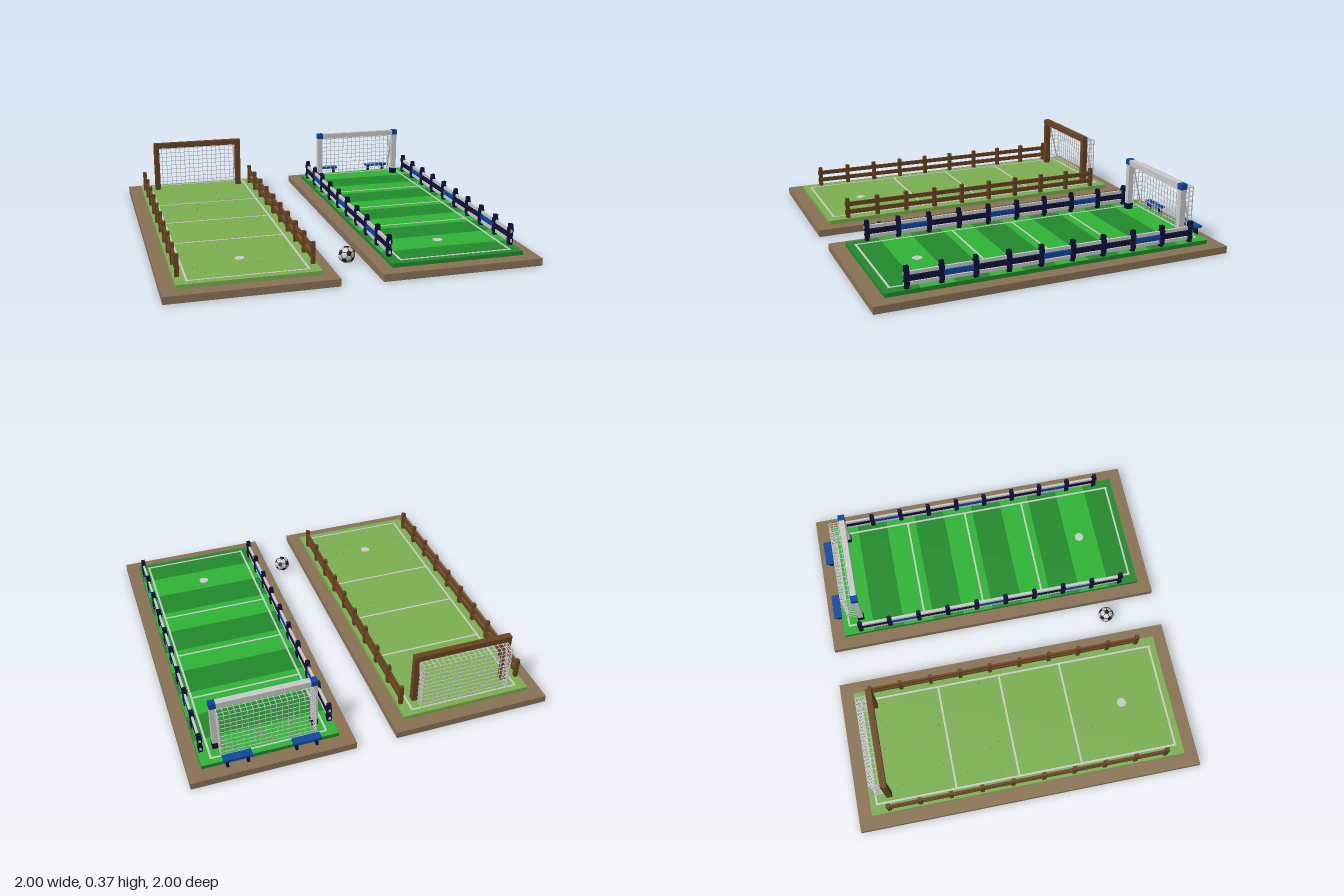
import * as THREE from 'three';

const mat = (name, color) => Object.assign(new THREE.MeshStandardMaterial({ color }), { name });
const M = {
  dirt: mat('dirt', 0x8b7355),
  meadow: mat('meadow green', 0x7cb050),
  light: mat('light turf', 0x2eb536),
  dark: mat('dark turf', 0x228b2c),
  wood: mat('brown wood', 0x6b4423),
  white: mat('off white', 0xcccccc),
  navy: mat('navy', 0x10103a),
  blue: mat('blue', 0x0d47a1),
  black: mat('black', 0x1a1a1a),
};
const CX = 0.5555;      // field centre distance from the middle
const GROUND = 0.04;    // top of the dirt slab
const TURF = 0.062;     // top of the turf

function box(parent, name, m, w, h, d, x, y, z) {
  const mesh = new THREE.Mesh(new THREE.BoxGeometry(w, h, d), m);
  mesh.name = name;
  mesh.position.set(x, y, z);
  parent.add(mesh);
  return mesh;
}

// box stretched between two points
function bar(parent, name, m, t, a, b) {
  const p = new THREE.Vector3(...a), q = new THREE.Vector3(...b);
  const mesh = box(parent, name, m, t, t, p.distanceTo(q), 0, 0, 0);
  mesh.position.copy(p).add(q).multiplyScalar(0.5);
  mesh.quaternion.setFromUnitVectors(new THREE.Vector3(0, 0, 1), q.sub(p).normalize());
  return mesh;
}

function group(parent, name) {
  const g = new THREE.Group();
  g.name = name;
  parent.add(g);
  return g;
}

function markings(parent) {
  const g = group(parent, 'markings');
  const y = TURF + 0.001, t = 0.011;
  for (const x of [-0.31, 0.31]) box(g, 'sideLine', M.white, t, 0.003, 1.776, x, y, 0);
  for (const z of [-0.885, -0.42, -0.05, 0.32, 0.88])
    box(g, 'crossLine', M.white, 0.62, 0.003, t, 0, y, z);
  const spot = new THREE.Mesh(new THREE.CylinderGeometry(0.027, 0.027, 0.004, 20), M.white);
  spot.name = 'penaltySpot';
  spot.position.set(0, y, 0.633);
  g.add(spot);
}

function goal(parent, frame, fancy) {
  const g = group(parent, 'goal');
  const z = -0.807, zb = -0.888, top = 0.34, t = 0.033, W = 0.255;
  box(g, 'crossbar', frame, 0.568, 0.032, t + 0.002, 0, 0.355, z);
  for (const s of [-1, 1]) {
    const x = s * 0.268;
    box(g, 'post', frame, t, top - TURF, t, x, (top + TURF) / 2, z);
    if (fancy) {
      box(g, 'cornerCap', M.blue, t + 0.003, 0.032, t + 0.006, x, 0.356, z);
      box(g, 'postFoot', M.navy, t + 0.003, 0.036, t + 0.006, x, 0.08, z);
    }
    bar(g, 'netStrut', M.white, 0.007, [s * W, top - 0.01, z - 0.015], [s * W, TURF + 0.005, zb]);
    bar(g, 'netBackPost', M.white, 0.005, [s * W, TURF, zb], [s * W, top, zb]);
  }
  // net: back, roof and both sides
  const net = group(g, 'net'), n = 17, rows = 10, k = 0.003;
  for (let i = 0; i <= n; i++) {
    const x = -W + (2 * W * i) / n;
    bar(net, 'netCord', M.white, k, [x, TURF, zb], [x, top, zb]);
    bar(net, 'netCord', M.white, k, [x, top, zb], [x, top, z]);
  }
  for (let j = 0; j <= rows; j++) {
    const y = TURF + ((top - TURF) * j) / rows;
    bar(net, 'netCord', M.white, k, [-W, y, zb], [W, y, zb]);
    for (const s of [-W, W]) bar(net, 'netCord', M.white, k, [s, y, zb], [s, y, z]);
  }
  for (const zz of [-0.861, -0.834]) {
    bar(net, 'netCord', M.white, k, [-W, top, zz], [W, top, zz]);
    for (const s of [-W, W]) bar(net, 'netCord', M.white, k, [s, TURF, zz], [s, top, zz]);
  }
}

function fence(parent, x, fancy) {
  const g = group(parent, 'fence');
  const n = 10, step = 0.18, z0 = -0.815;
  const zAt = (i) => z0 + i * step;
  for (let i = 0; i < n; i++) {
    box(g, 'fencePost', fancy ? M.navy : M.wood, 0.022, 0.118, 0.022, x, 0.121, zAt(i));
    if (fancy) for (const y of [0.145, 0.09])
      box(g, 'railBracket', M.navy, 0.026, 0.022, 0.028, x, y, zAt(i));
  }
  for (const y of fancy ? [0.142, 0.087] : [0.145, 0.098])
    box(g, 'rail', fancy ? M.white : M.wood, 0.012, fancy ? 0.018 : 0.024, 1.65, x, y, -0.005);
  // coloured boards between the posts
  if (fancy) for (let i = 0; i < n - 1; i++)
    box(g, 'board', i % 3 === 1 ? M.blue : M.navy, 0.014, 0.027, step - 0.022, x, 0.114, zAt(i) + step / 2);
}

function bench(parent, x) {
  const g = group(parent, 'bench');
  box(g, 'benchSeat', M.blue, 0.152, 0.012, 0.046, x, 0.097, -0.941);
  for (const s of [-1, 1]) box(g, 'benchLeg', M.navy, 0.014, 0.052, 0.024, x + s * 0.055, 0.066, -0.938);
}

function ball(parent) {
  const g = group(parent, 'ball'), r = 0.045;
  g.position.set(0.015, r, 0.68);
  const skin = new THREE.Mesh(new THREE.SphereGeometry(r, 28, 18), M.white);
  skin.name = 'ballSkin';
  g.add(skin);
  // twelve pentagon centres: the poles and two staggered rings
  const dirs = [new THREE.Vector3(0, 1, 0), new THREE.Vector3(0, -1, 0)];
  for (let i = 0; i < 5; i++) for (const s of [1, -1]) {
    const a = (i * 2 * Math.PI) / 5 + (s < 0 ? Math.PI / 5 : 0);
    dirs.push(new THREE.Vector3().setFromSphericalCoords(1, Math.PI / 2 - s * Math.atan(0.5), a));
  }
  const near = (a, b) => a !== b && a.dot(b) > 0.4;
  const cap = new THREE.SphereGeometry(r * 1.025, 5, 3, 0, Math.PI * 2, 0, 0.36);
  dirs.forEach((d, i) => {
    const nb = dirs.find((e) => near(d, e));
    const x = nb.clone().addScaledVector(d, -nb.dot(d)).normalize().negate();
    const z = x.clone().cross(d);
    const patch = new THREE.Mesh(cap, M.black);
    patch.name = 'ballPatch';
    patch.quaternion.setFromRotationMatrix(new THREE.Matrix4().makeBasis(x, d, z));
    g.add(patch);
    // seams joining neighbouring pentagons
    dirs.slice(i + 1).filter((e) => near(d, e)).forEach((e) => {
      const p = (t) => d.clone().lerp(e, t).normalize().multiplyScalar(r).toArray();
      for (const [a, b] of [[0.32, 0.5], [0.5, 0.68]]) bar(g, 'ballSeam', M.black, 0.0022, p(a), p(b));
    });
  });
}

function field(root, name, x, fancy) {
  const g = group(root, name);
  g.position.x = x;
  box(g, 'dirtBase', M.dirt, 0.887, GROUND, 2, Math.sign(x) * 0.001, GROUND / 2, 0);
  box(g, 'turf', fancy ? M.dark : M.meadow, 0.738, TURF - GROUND, 1.844, 0, (TURF + GROUND) / 2, 0);
  if (fancy) {
    // mown stripes
    for (let i = 0; i < 10; i += 2)
      box(g, 'mownStripe', M.light, 0.738, 0.001, 0.1844, 0, TURF + 0.0002, -0.922 + (i + 0.5) * 0.1844);
    for (const bx of [-0.185, 0.183]) bench(g, bx);
  } else {
    // small grass tufts
    let seed = 7;
    const rnd = () => (seed = (seed * 16807) % 2147483647) / 2147483647;
    const tuft = new THREE.ConeGeometry(0.004, 0.008, 4);
    for (let i = 0; i < 70; i++) {
      const m = new THREE.Mesh(tuft, M.meadow);
      m.name = 'grassTuft';
      m.position.set((rnd() - 0.5) * 0.66, TURF + 0.004, (rnd() - 0.5) * 1.7);
      g.add(m);
    }
  }
  markings(g);
  goal(g, fancy ? M.white : M.wood, fancy);
  for (const s of [-1, 1]) fence(g, s * 0.349, fancy);
}

export function createModel() {
  const root = new THREE.Group();
  root.name = 'footballFields';
  field(root, 'rusticField', -CX, false);
  field(root, 'clubField', CX, true);
  ball(root);
  return root;
}
